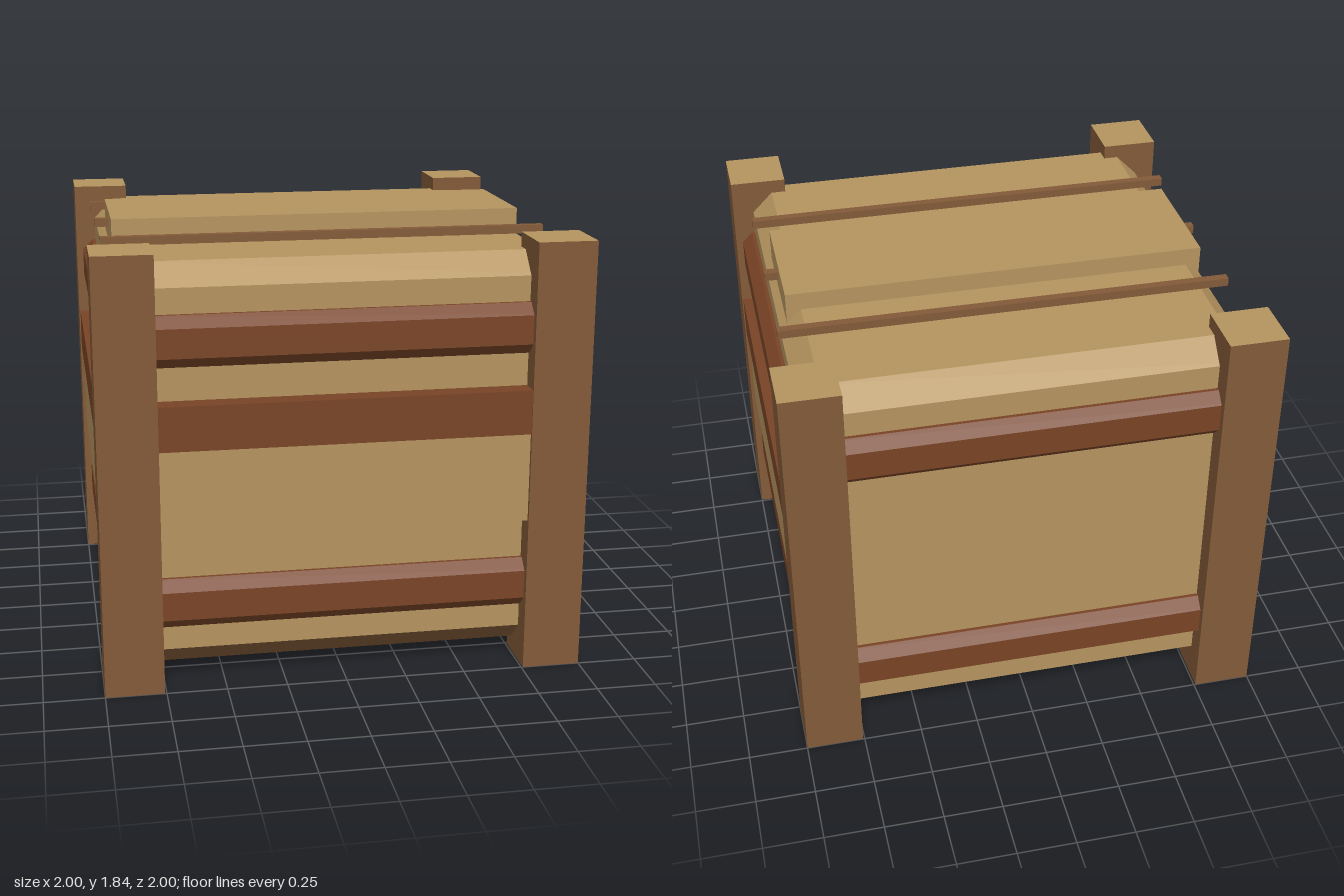
import * as THREE from 'three';

const material = (name, color) => {
  const m = new THREE.MeshStandardMaterial({ color });
  m.name = name;
  return m;
};

export function createModel() {
  const tan = material('paleWood', 0xb5945f);
  const brown = material('brownWood', 0x835a38);
  const red = material('redWood', 0x794426);
  const crate = new THREE.Group();
  crate.name = 'crate';

  const add = (name, geometry, mat, x = 0, y = 0, z = 0, parent = crate) => {
    const mesh = new THREE.Mesh(geometry, mat);
    mesh.name = name;
    mesh.position.set(x, y, z);
    parent.add(mesh);
    return mesh;
  };

  // Box placed by its vertical extent
  const box = (name, w, y0, y1, d, mat, x = 0, z = 0, parent = crate) =>
    add(name, new THREE.BoxGeometry(w, y1 - y0, d), mat, x, (y0 + y1) / 2, z, parent);

  // Square solid from a profile of [half width, height], listed bottom to top
  const squareSolid = (name, profile, mat) => {
    const points = profile.map(([half, y]) => new THREE.Vector2(half * Math.SQRT2, y));
    const geometry = new THREE.LatheGeometry(points, 4, Math.PI / 4).toNonIndexed();
    geometry.computeVertexNormals();
    return add(name, geometry, mat);
  };

  // Bevelled body: dark base below, pale walls and top above
  squareSolid('base', [[0, 0.065], [0.82, 0.065], [0.91, 0.155]], brown);
  squareSolid('body', [[0.91, 0.155], [0.91, 1.67], [0.82, 1.76], [0, 1.76]], tan);

  // Two bevelled hoops
  for (const [name, y] of [['lowerHoop', 0.26], ['upperHoop', 1.355]]) {
    squareSolid(name, [
      [0.9, y], [0.925, y], [0.97, y + 0.045],
      [0.97, y + 0.165], [0.925, y + 0.21], [0.9, y + 0.21],
    ], red);
  }

  // Middle band and raised panel on the front and both sides, none on the back
  for (const [side, angle] of [['front', 0], ['left', Math.PI / 2], ['right', -Math.PI / 2]]) {
    const group = new THREE.Group();
    group.name = side + 'Boards';
    group.rotation.y = angle;
    box(side + 'Band', 1.56, 1.03, 1.215, 0.095, red, 0, 0.9475, group);
    box(side + 'Panel', 1.56, 0.655, 1.03, 0.085, tan, 0, 0.9425, group);
    crate.add(group);
  }

  // Corner posts with pale cut tops
  const postMaterials = [brown, brown, tan, brown, brown, brown];
  for (const x of [-1, 1]) {
    for (const z of [-1, 1]) {
      box('cornerPost', 0.243, 0, 1.82, 0.243, postMaterials, x * 0.8785, z * 0.8785);
    }
  }

  // Lid plank and the three rods lying across the top
  box('lidPlank', 1.76, 1.7, 1.835, 0.543, tan);
  for (const z of [-0.455, 0, 0.455]) {
    box('rod', 1.875, 1.76, 1.795, 0.036, brown, 0, z);
  }

  return crate;
}
